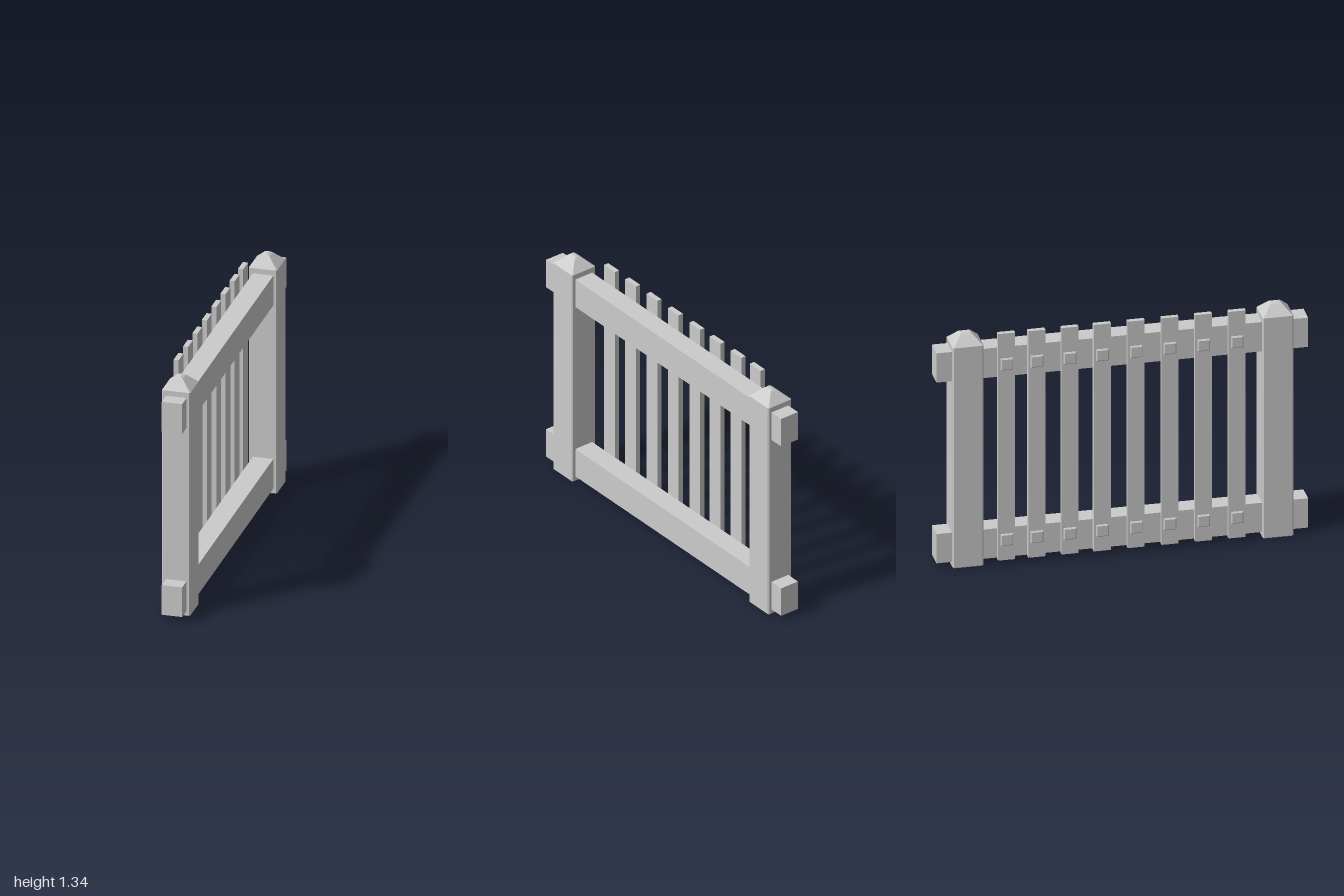
import * as THREE from 'three';
import { ConvexGeometry } from 'three/addons/geometries/ConvexGeometry.js';

const material = new THREE.MeshStandardMaterial({ color: 0xcccccc, flatShading: true });

function add(parent, name, geometry, x, y, z) {
  const mesh = new THREE.Mesh(geometry, material);
  mesh.name = name;
  mesh.position.set(x, y, z);
  parent.add(mesh);
}

// Box between two x and two y limits, centred on z
function addBox(parent, name, x0, x1, y0, y1, z, depth) {
  add(parent, name, new THREE.BoxGeometry(x1 - x0, y1 - y0, depth), (x0 + x1) / 2, (y0 + y1) / 2, z);
}

// Convex solid from rectangular rings [y, halfX, halfZ, cornerChamfer]
function stackedRings(rings) {
  const points = [];
  for (const [y, hx, hz, c] of rings) {
    for (const sx of [-1, 1]) for (const sz of [-1, 1]) {
      points.push(new THREE.Vector3(sx * hx, y, sz * (hz - c)));
      if (c > 0) points.push(new THREE.Vector3(sx * (hx - c), y, sz * hz));
    }
  }
  return new ConvexGeometry(points);
}

export function createModel() {
  const fence = new THREE.Group();
  fence.name = 'fence';

  // Posts with chamfered corners and pyramid caps with a blunt tip
  const postGeometry = stackedRings([
    [0, 0.073, 0.079, 0.005],
    [0.005, 0.0775, 0.083, 0.006],
    [1.28, 0.0775, 0.083, 0.006],
    [1.333, 0.022, 0.031, 0],
    [1.34, 0.008, 0.022, 0],
  ]);
  for (const z of [0.834, -0.834]) add(fence, 'post', postGeometry, 0.0075, 0, z);

  // Rails running through the posts
  addBox(fence, 'lowerRail', -0.047, 0.065, 0.03, 0.2, 0, 2);
  addBox(fence, 'upperRail', -0.047, 0.065, 1.08, 1.25, 0, 2);

  // Pickets, each fixed to both rails by a bevelled plate and a peg
  const plateGeometry = stackedRings([
    [0, 0.034, 0.034, 0],
    [0.006, 0.034, 0.034, 0],
    [0.012, 0.028, 0.028, 0],
  ]).rotateZ(Math.PI / 2);
  for (const z of [0.61, 0.43, 0.249, 0.067, -0.115, -0.289, -0.467, -0.63]) {
    const picket = new THREE.Group();
    picket.name = 'picket';
    addBox(picket, 'slat', -0.08, -0.052, 0.027, 1.343, z, 0.092);
    for (const y of [0.146, 1.166]) {
      add(picket, 'plate', plateGeometry, -0.078, y, z);
      addBox(picket, 'peg', -0.06, -0.04, y - 0.015, y + 0.015, z, 0.03);
    }
    fence.add(picket);
  }
  return fence;
}
